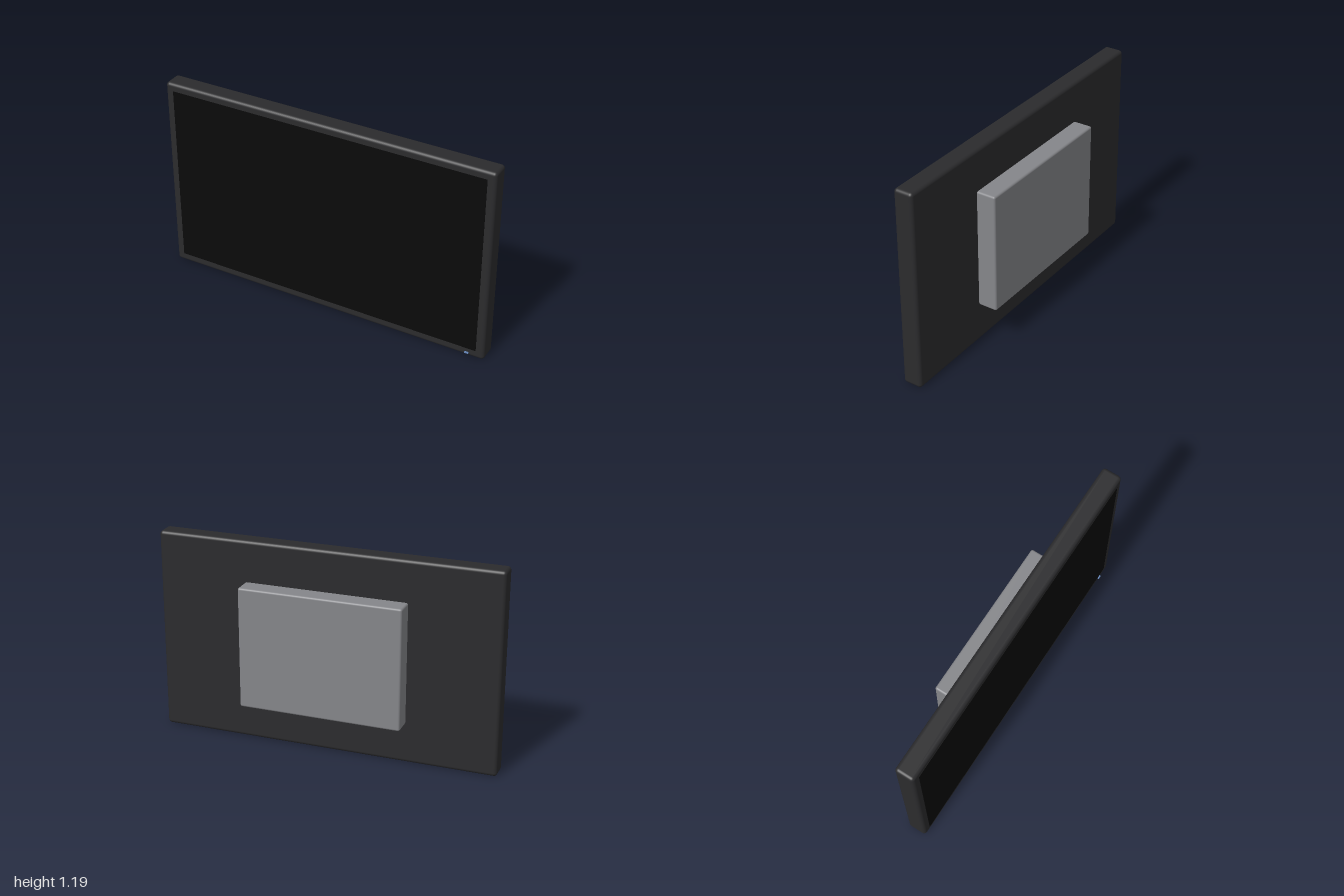
import * as THREE from 'three';
import { RoundedBoxGeometry } from 'three/addons/geometries/RoundedBoxGeometry.js';

export function createModel() {
  const model = new THREE.Group();
  model.name = 'wallDisplay';

  const add = (name, geometry, color, x, y, z) => {
    const mesh = new THREE.Mesh(geometry, new THREE.MeshStandardMaterial({ color }));
    mesh.name = name;
    mesh.position.set(x, y, z);
    model.add(mesh);
  };

  // Main body with softened edges
  add('frame', new RoundedBoxGeometry(2, 1.19, 0.115, 4, 0.02), 0x2b2b2d, 0, 0.595, 0.0565);

  // Thin dark panel, just proud of the bezel
  add('screen', new THREE.BoxGeometry(1.904, 1.094, 0.01), 0x0a0a0a, 0, 0.597, 0.111);

  // Electronics box on the back
  add('rearHousing', new RoundedBoxGeometry(0.95, 0.714, 0.118, 3, 0.012), 0x85868a, 0, 0.597, -0.061);

  // Status light on the lower bezel
  add('statusLight', new THREE.BoxGeometry(0.022, 0.008, 0.012), 0x6688bb, 0.9, 0.022, 0.116);

  return model;
}
